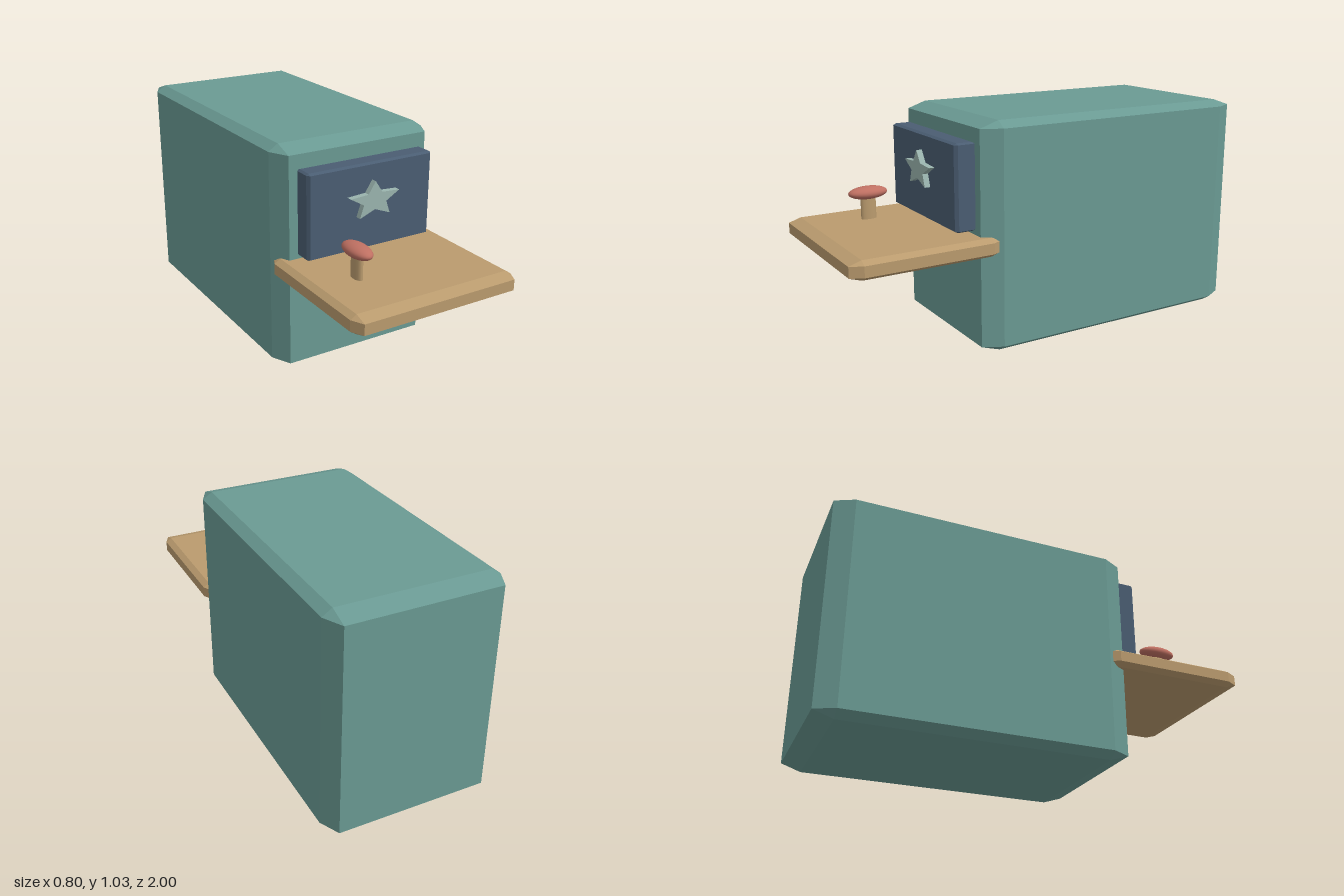
import * as THREE from 'three';
import { ConvexGeometry } from 'three/addons/geometries/ConvexGeometry.js';

const material = (name, color) => {
  const m = new THREE.MeshStandardMaterial({ color });
  m.name = name;
  return m;
};

// Box with chamfered edges; the chamfer has its own depth along each axis
function chamferBox(size, bevel) {
  const half = size.map((s) => s / 2);
  const points = [];
  for (const sx of [-1, 1]) for (const sy of [-1, 1]) for (const sz of [-1, 1]) {
    const sign = [sx, sy, sz];
    for (let axis = 0; axis < 3; axis++) {
      points.push(new THREE.Vector3(...sign.map(
        (s, i) => s * (half[i] - (i === axis ? 0 : bevel[i])))));
    }
  }
  return new ConvexGeometry(points);
}

// Five-pointed star plate, squashed in height
function starPlate(outer, inner, squash, depth) {
  const points = [];
  for (let i = 0; i < 10; i++) {
    const r = i % 2 ? inner : outer;
    const a = Math.PI / 2 + (i * Math.PI) / 5;
    points.push(new THREE.Vector2(r * Math.cos(a), r * squash * Math.sin(a)));
  }
  return new THREE.ExtrudeGeometry(new THREE.Shape(points), { depth, bevelEnabled: false });
}

export function createModel() {
  const model = new THREE.Group();
  model.name = 'arcadeCabinet';
  const teal = material('teal', 0x6a9a93);
  const navy = material('slate blue', 0x4a5d72);
  const pale = material('pale green', 0x9ab4ae);
  const wood = material('tan', 0xba9b6e);
  const red = material('dusty red', 0xbf7062);

  const add = (name, geometry, mat, x, y, z) => {
    const mesh = new THREE.Mesh(geometry, mat);
    mesh.name = name;
    mesh.position.set(x, y, z);
    model.add(mesh);
    return mesh;
  };

  // Body and screen
  add('cabinet', chamferBox([0.786, 1.032, 1.395], [0.045, 0.03, 0.09]), teal, 0, 0.516, -0.3025);
  add('screen', chamferBox([0.63, 0.386, 0.1], [0.011, 0.007, 0.015]), navy, 0, 0.75, 0.445);
  add('star', starPlate(0.13, 0.06, 0.663, 0.035), pale, 0, 0.783, 0.487);

  // Control shelf
  add('controlShelf', chamferBox([0.8, 0.085, 0.7], [0.028, 0.018, 0.056]), wood, 0, 0.4925, 0.65);

  // Joystick, stretched front to back
  const stem = add('joystickStem', new THREE.CylinderGeometry(1, 1, 0.13, 16), wood, -0.195, 0.575, 0.68);
  stem.scale.set(0.0185, 1, 0.037);
  const knob = add('joystickKnob', new THREE.SphereGeometry(1, 24, 16), red, -0.195, 0.657, 0.68);
  knob.scale.set(0.047, 0.03, 0.093);

  return model;
}
